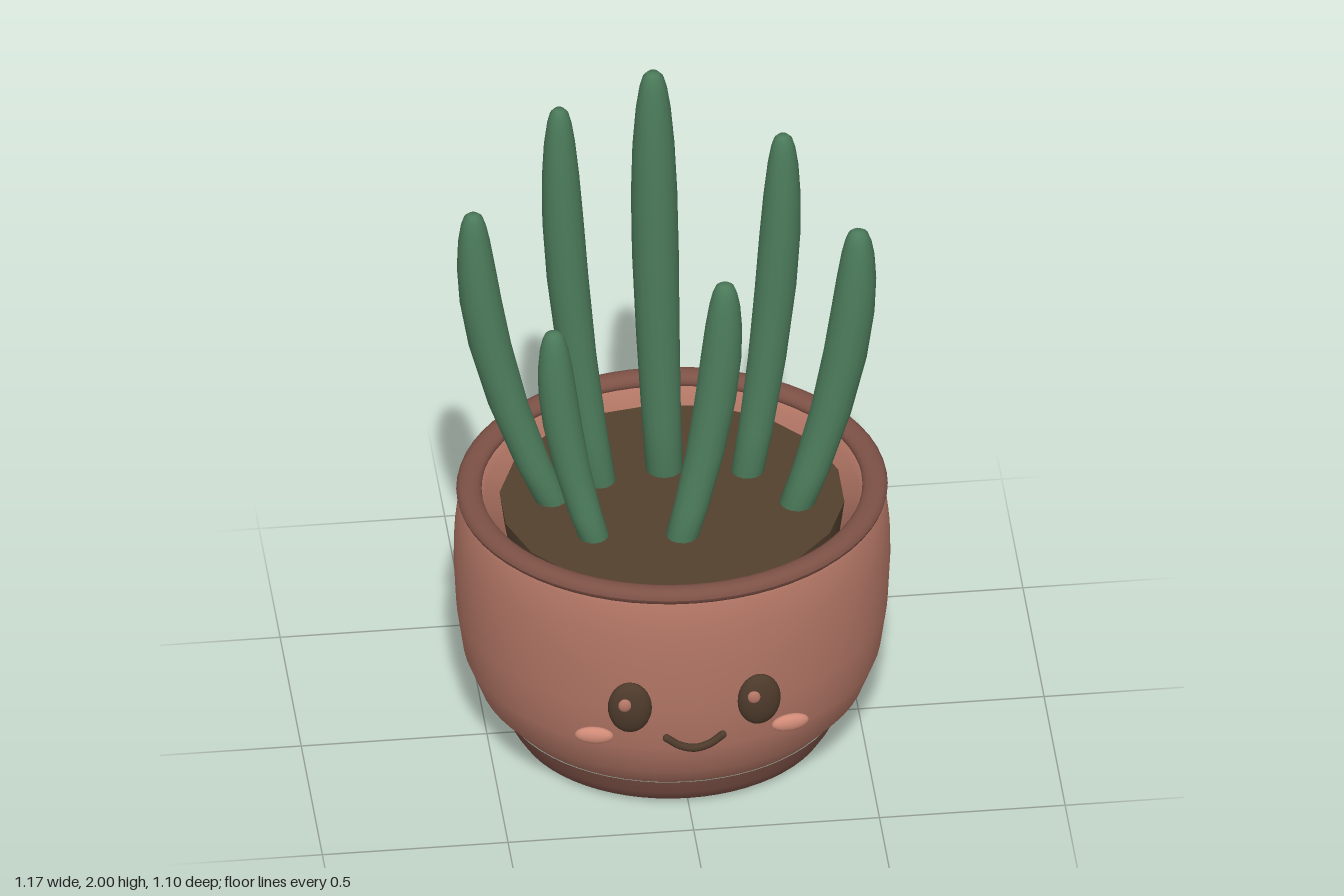
import * as THREE from 'three';
import { mergeVertices } from 'three/addons/utils/BufferGeometryUtils.js';

const clay = new THREE.MeshStandardMaterial({ color: 0xb47766 });
clay.name = 'clay';
const darkClay = new THREE.MeshStandardMaterial({ color: 0x7d5146 });
darkClay.name = 'darkClay';
const soilBrown = new THREE.MeshStandardMaterial({ color: 0x54412f });
soilBrown.name = 'soilBrown';
const faceBrown = new THREE.MeshStandardMaterial({ color: 0x4d3a2b });
faceBrown.name = 'faceBrown';
const blush = new THREE.MeshStandardMaterial({ color: 0xcf8a76 });
blush.name = 'blush';
const leafGreen = new THREE.MeshStandardMaterial({ color: 0x4b7a5a });
leafGreen.name = 'leafGreen';

const DEPTH = 0.915; // the pot is slightly oval
const POT_Z = -0.015;

function add(parent, name, geometry, material, x = 0, y = 0, z = 0) {
  const mesh = new THREE.Mesh(geometry, material);
  mesh.name = name;
  mesh.position.set(x, y, z);
  parent.add(mesh);
  return mesh;
}

function lathe(points, segments = 64) {
  return new THREE.LatheGeometry(points.map(([r, y]) => new THREE.Vector2(r, y)), segments);
}

function ellipsoid(rx, ry, rz) {
  return new THREE.SphereGeometry(1, 24, 16).scale(rx, ry, rz);
}

// Tapered stalk whose rings lean along an easing curve from base to tip
const LEAF_PROFILE = [
  [0, 0], [0.78, 0], [0.84, 0.15], [0.93, 0.35], [1, 0.55], [0.99, 0.7], [0.9, 0.82],
  [0.75, 0.91], [0.6, 0.96], [0.45, 0.988], [0.25, 0.999], [0, 1],
];
function leafGeometry(base, tip, radius) {
  let geo = lathe(LEAF_PROFILE, 16);
  geo.deleteAttribute('uv');
  geo.deleteAttribute('normal');
  geo = mergeVertices(geo);
  const p = geo.attributes.position;
  for (let i = 0; i < p.count; i++) {
    const t = p.getY(i);
    const lean = 1 - (1 - t) ** 2;
    p.setXYZ(
      i,
      p.getX(i) * radius + THREE.MathUtils.lerp(base[0], tip[0], lean),
      THREE.MathUtils.lerp(base[1], tip[1], t),
      p.getZ(i) * radius + THREE.MathUtils.lerp(base[2], tip[2], lean),
    );
  }
  geo.computeVertexNormals();
  return geo;
}

export function createModel() {
  const model = new THREE.Group();
  model.name = 'pottedPlant';

  // Oval pot
  const pot = new THREE.Group();
  pot.name = 'pot';
  pot.position.z = POT_Z;
  pot.scale.z = DEPTH;
  model.add(pot);

  // Outer wall, lip and inner wall, closed by a floor
  add(pot, 'potBody', lathe([
    [0, 0.085], [0.44, 0.085], [0.455, 0.09], [0.52, 0.165], [0.56, 0.27], [0.578, 0.4],
    [0.585, 0.54], [0.583, 0.64], [0.572, 0.74], [0.55, 0.77], [0.525, 0.77],
    [0.5, 0.735], [0.47, 0.67], [0.45, 0.6], [0.43, 0.5], [0, 0.5],
  ]), clay);

  // Rounded rim
  const rim = [];
  for (let i = 0; i <= 16; i++) {
    const a = (i / 16) * Math.PI * 2;
    rim.push([0.544 + 0.034 * Math.cos(a), 0.767 + 0.023 * Math.sin(a)]);
  }
  add(pot, 'rim', lathe(rim), darkClay);

  // Foot ring with a drainage hole
  add(pot, 'foot', lathe([
    [0.13, 0.086], [0.13, 0.06], [0.16, 0.03], [0.22, 0.008], [0.3, 0], [0.38, 0],
    [0.42, 0.012], [0.44, 0.045], [0.458, 0.09],
  ]), darkClay);

  add(pot, 'soil', new THREE.CylinderGeometry(0.463, 0.45, 0.1, 18), soilBrown, 0, 0.68, 0);

  // Leaves: base x, base z, tip x, tip height, tip z, radius
  const leaves = [
    [-0.31, -0.045, -0.525, 1.64, -0.105, 0.057],
    [-0.18, -0.115, -0.286, 1.92, -0.172, 0.056],
    [-0.005, -0.15, -0.03, 2.0, -0.2, 0.063],
    [0.21, -0.115, 0.317, 1.785, -0.172, 0.056],
    [0.32, 0.045, 0.5, 1.578, 0.0, 0.06],
    [0.0, 0.16, 0.13, 1.5, 0.095, 0.056],
    [-0.22, 0.138, -0.328, 1.36, 0.07, 0.052],
  ];
  const plant = new THREE.Group();
  plant.name = 'plant';
  model.add(plant);
  leaves.forEach(([bx, bz, tx, ty, tz, r]) => {
    add(plant, 'leaf', leafGeometry([bx, 0.7, bz], [tx, ty, tz], r), leafGreen);
  });

  // Face
  const face = new THREE.Group();
  face.name = 'face';
  model.add(face);
  for (const side of [-1, 1]) {
    add(face, 'eye', ellipsoid(0.059, 0.079, 0.03), faceBrown, side * 0.174, 0.432, 0.518)
      .rotation.y = side * 0.12;
    add(face, 'eyeHighlight', ellipsoid(0.018, 0.02, 0.01), clay, side * 0.174 - 0.016, 0.456, 0.542);
    add(face, 'cheek', ellipsoid(0.052, 0.025, 0.018), blush, side * 0.264, 0.308, 0.463)
      .rotation.y = side * 0.2;
  }
  const smile = new THREE.CatmullRomCurve3([
    new THREE.Vector3(-0.075, 0.325, 0.522), new THREE.Vector3(-0.04, 0.302, 0.527),
    new THREE.Vector3(0, 0.293, 0.53),
    new THREE.Vector3(0.04, 0.302, 0.527), new THREE.Vector3(0.075, 0.325, 0.522),
  ]);
  add(face, 'mouth', new THREE.TubeGeometry(smile, 24, 0.011, 8), faceBrown);
  for (const side of [-1, 1]) {
    add(face, 'mouthCorner', ellipsoid(0.011, 0.011, 0.011), faceBrown, side * 0.075, 0.325, 0.522);
  }

  return model;
}
